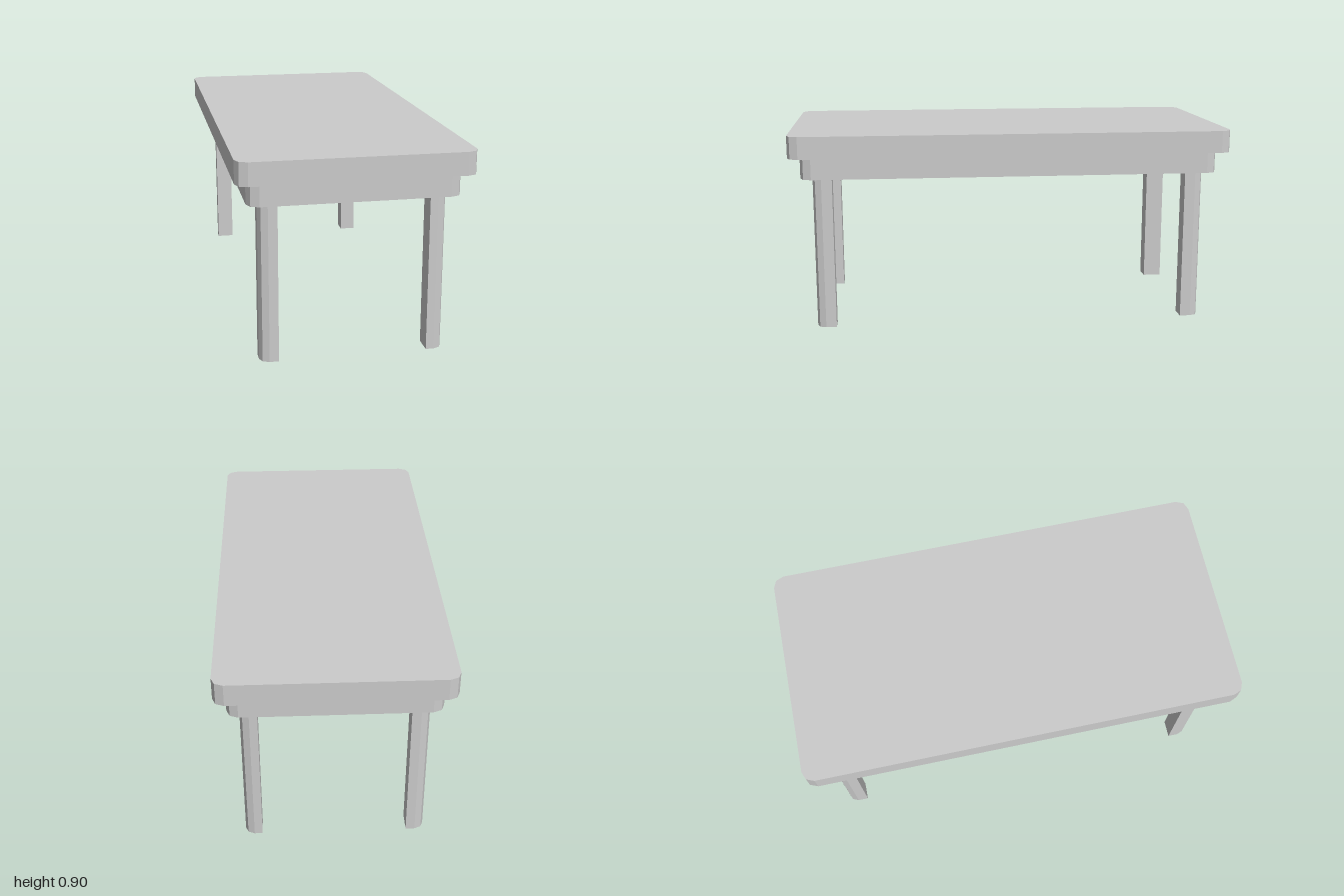
import * as THREE from 'three';

const material = new THREE.MeshStandardMaterial({ color: 0xcccccc, flatShading: true });

// Rectangle outline whose corners are cut by two-step arcs
function roundedRect(target, hx, hz, r) {
  const corners = [[1, 1, 0], [-1, 1, 1], [-1, -1, 2], [1, -1, 3]];
  const points = [];
  for (const [sx, sz, quarter] of corners) {
    for (let i = 0; i <= 2; i++) {
      const a = (quarter + i / 2) * Math.PI / 2;
      points.push(new THREE.Vector2(sx * (hx - r) + r * Math.cos(a), sz * (hz - r) + r * Math.sin(a)));
    }
  }
  return target.setFromPoints(points);
}

// Extrude a plan outline upward from y0 to y1
function slab(name, shape, y0, y1) {
  const geometry = new THREE.ExtrudeGeometry(shape, { depth: y1 - y0, bevelEnabled: false });
  geometry.rotateX(-Math.PI / 2).translate(0, y0, 0);
  const mesh = new THREE.Mesh(geometry, material);
  mesh.name = name;
  return mesh;
}

// Leg plan: square inside, rounded at the outer corner
function legShape(sx, sz, innerX) {
  const r = 0.04, outerX = 0.4, outerZ = 0.9, innerZ = 0.812;
  const points = [[innerX, innerZ], [outerX, innerZ]];
  for (let i = 0; i <= 2; i++) {
    const a = i * Math.PI / 4;
    points.push([outerX - r + r * Math.cos(a), outerZ - r + r * Math.sin(a)]);
  }
  points.push([innerX, outerZ]);
  return new THREE.Shape(points.map(([x, z]) => new THREE.Vector2(sx * x, sz * z)));
}

export function createModel() {
  const table = new THREE.Group();
  table.name = 'table';

  // Tabletop
  table.add(slab('tabletop', roundedRect(new THREE.Shape(), 0.5, 1, 0.05), 0.8, 0.9));

  // Hollow apron frame under the top
  const frame = roundedRect(new THREE.Shape(), 0.45, 0.95, 0.05);
  frame.holes.push(roundedRect(new THREE.Path(), 0.4, 0.9, 0.04));
  table.add(slab('apron', frame, 0.7, 0.8));

  // Four legs set inside the apron corners
  for (const [sx, side] of [[1, 'Left'], [-1, 'Right']]) {
    for (const [sz, end] of [[-1, 'front'], [1, 'back']]) {
      table.add(slab(`${end}${side}Leg`, legShape(sx, sz, sx > 0 ? 0.325 : 0.32), 0, 0.8));
    }
  }
  return table;
}
